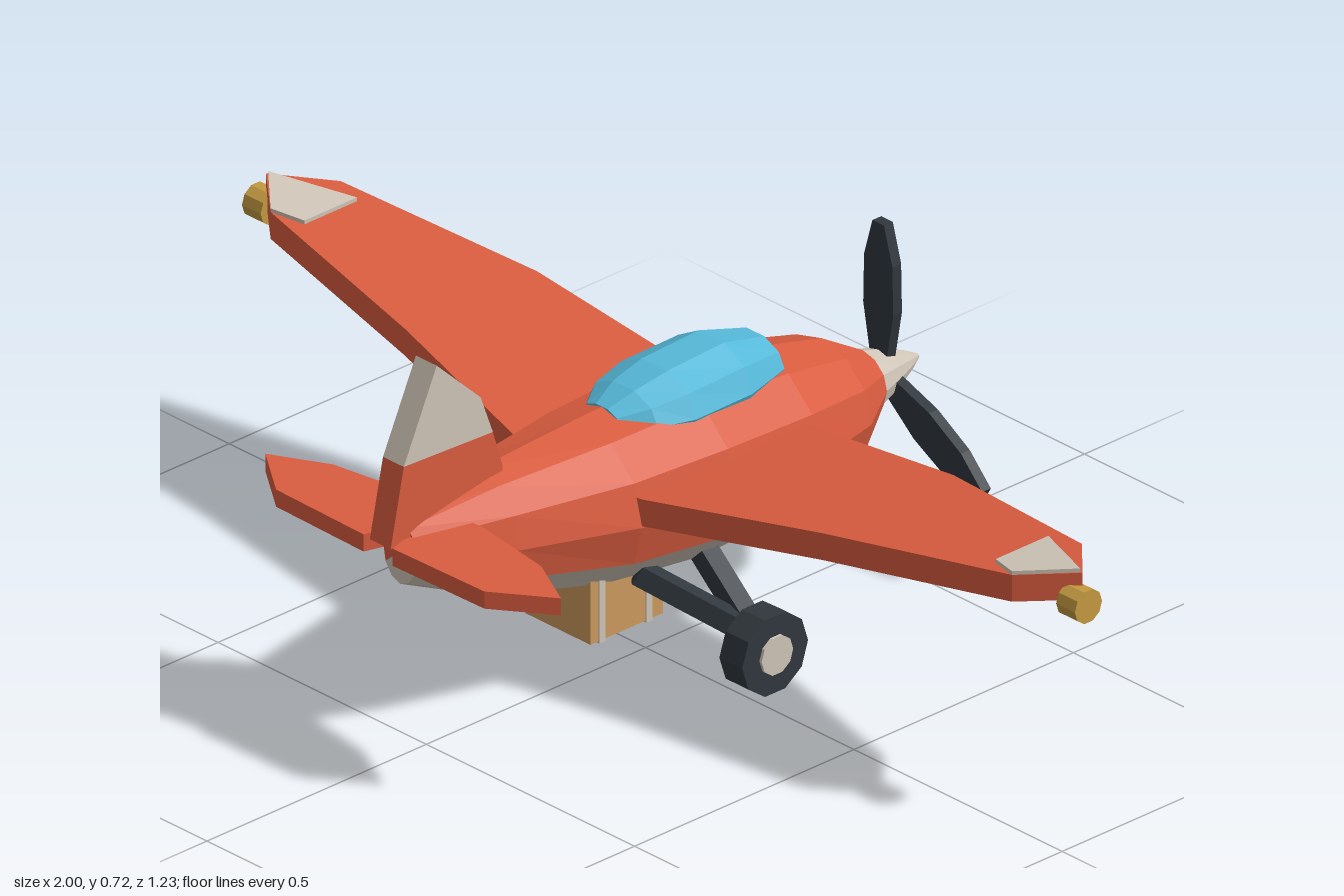
import * as THREE from 'three';

const mat = (name, color) => {
  const m = new THREE.MeshStandardMaterial({ color });
  m.name = name;
  return m;
};

// Split every face so that its normals are flat
function flat(geo) {
  const g = geo.index ? geo.toNonIndexed() : geo;
  g.computeVertexNormals();
  return g;
}

// Skin over elliptical sections [z, centreY, halfWidth, halfHeight], between two angles in degrees
function loft(sections, from, to, steps) {
  const pos = [], idx = [], n = steps + 1;
  for (const [z, cy, w, h] of sections) {
    for (let i = 0; i < n; i++) {
      const a = THREE.MathUtils.degToRad(from + (to - from) * i / steps);
      pos.push(w * Math.cos(a), cy + h * Math.sin(a), z);
    }
  }
  const last = sections.length - 1;
  for (let s = 0; s < last; s++) {
    for (let i = 0; i < steps; i++) {
      const a = s * n + i, d = a + n;
      idx.push(a, a + 1, d + 1, a, d + 1, d);
    }
  }
  // end caps as fans around the section centres
  const c = pos.length / 3;
  pos.push(0, sections[0][1], sections[0][0], 0, sections[last][1], sections[last][0]);
  for (let i = 0; i < steps; i++) {
    idx.push(c, i + 1, i, c + 1, last * n + i, last * n + i + 1);
  }
  const g = new THREE.BufferGeometry();
  g.setAttribute('position', new THREE.Float32BufferAttribute(pos, 3));
  g.setIndex(idx);
  return flat(g);
}

const extrude = (points, depth) => new THREE.ExtrudeGeometry(
  new THREE.Shape(points.map(([x, y]) => new THREE.Vector2(x, y))), { depth, bevelEnabled: false });

// Horizontal slab from an [x, z] outline, raised outward by the dihedral slope
function slab(outline, side, y, thickness, slope = 0) {
  const g = extrude(outline.map(([x, z]) => [x * side, -z]), thickness).rotateX(-Math.PI / 2);
  const p = g.attributes.position;
  for (let i = 0; i < p.count; i++) p.setY(i, p.getY(i) + y + slope * Math.abs(p.getX(i)));
  return flat(g);
}

// Upright slab from a [z, y] outline, centred on x = 0
const upright = (outline, thickness) =>
  flat(extrude(outline, thickness).translate(0, 0, -thickness / 2).rotateY(-Math.PI / 2));

export function createModel() {
  const model = new THREE.Group();
  model.name = 'airplane';
  const red = mat('red paint', 0xd95c3f), cream = mat('cream paint', 0xcfc5b7);
  const glass = mat('blue glass', 0x55b8d8), dark = mat('dark grey', 0x30373d);
  const gold = mat('gold', 0xc49a41), tan = mat('crate tan', 0xcb9a5e);
  const add = (name, geo, material, parent = model) => {
    const m = new THREE.Mesh(geo, material);
    m.name = name;
    parent.add(m);
    return m;
  };

  // Fuselage: red upper shell, cream belly
  const body = [
    [-0.495, 0.33, 0.058, 0.055], [-0.4, 0.325, 0.12, 0.117], [-0.25, 0.33, 0.158, 0.15],
    [-0.05, 0.335, 0.167, 0.163], [0.15, 0.343, 0.15, 0.15], [0.38, 0.363, 0.095, 0.118],
    [0.56, 0.39, 0.04, 0.06],
  ];
  add('fuselage', loft(body, -30, 210, 8), red);
  add('belly', loft(body, 210, 330, 4), cream);

  // Canopy
  add('canopy', loft([
    [-0.25, 0.465, 0.07, 0.045], [-0.15, 0.465, 0.098, 0.074], [-0.02, 0.465, 0.1, 0.068],
    [0.05, 0.468, 0.082, 0.05], [0.1, 0.472, 0.045, 0.024],
  ], 0, 360, 10), glass);

  // Spinner and three propeller blades
  add('spinner', loft([
    [-0.62, 0.33, 0.004, 0.004], [-0.595, 0.33, 0.018, 0.018], [-0.55, 0.33, 0.038, 0.038],
    [-0.495, 0.33, 0.057, 0.054],
  ], 0, 360, 12), cream);
  const propeller = new THREE.Group();
  propeller.name = 'propeller';
  propeller.position.set(0, 0.33, -0.54);
  model.add(propeller);
  const blade = flat(extrude([[-0.018, 0.02], [0.018, 0.02], [0.036, 0.12], [0.034, 0.21],
    [0.014, 0.28], [-0.014, 0.28], [-0.034, 0.21], [-0.036, 0.12]], 0.02).translate(0, 0, -0.01));
  for (let i = 0; i < 3; i++) add('blade', blade, dark, propeller).rotation.z = i * Math.PI * 2 / 3;

  // Tail fin with a cream top
  add('tailFin', upright([[0.605, 0.42], [0.575, 0.563], [0.372, 0.555], [0.35, 0.485],
    [0.35, 0.43]], 0.05), red);
  add('finTip', upright([[0.575, 0.563], [0.5, 0.725], [0.4, 0.63], [0.372, 0.555]], 0.05), cream);

  for (const side of [1, -1]) {
    const half = new THREE.Group();
    half.name = side > 0 ? 'leftSide' : 'rightSide';
    model.add(half);

    // Wing, painted tip and tip lamp
    add('wing', slab([[0.08, -0.235], [0.5, -0.227], [0.89, -0.15], [0.98, -0.065], [0.89, 0.01],
      [0.5, 0.073], [0.15, 0.15], [0.08, 0.15]], side, 0.328, 0.05, 0.122), red, half);
    add('wingTipPaint', slab([[0.83, -0.13], [0.975, -0.065], [0.89, 0.01], [0.83, -0.01]],
      side, 0.378, 0.007, 0.122), cream, half);
    const lamp = add('tipLamp', flat(new THREE.CylinderGeometry(0.031, 0.031, 0.045, 10)), gold, half);
    lamp.rotation.z = Math.PI / 2;
    lamp.position.set(0.9775 * side, 0.444, -0.06);

    // Tailplane
    add('tailplane', slab([[0.02, 0.45], [0.09, 0.45], [0.25, 0.475], [0.355, 0.53], [0.25, 0.605],
      [0.035, 0.61], [0.02, 0.56]], side, 0.395, 0.032), red, half);

    // Wheel and hub cap
    const tyre = add('wheel', flat(new THREE.CylinderGeometry(0.075, 0.075, 0.055, 10)), dark, half);
    const hub = add('hubCap', flat(new THREE.CylinderGeometry(0.036, 0.036, 0.066, 10)), cream, half);
    for (const w of [tyre, hub]) {
      w.rotation.z = Math.PI / 2;
      w.position.set(0.236 * side, 0.08, -0.045);
    }

    // Landing gear struts
    const foot = new THREE.Vector3(0.215 * side, 0.1, -0.045);
    for (const [name, x, y, z] of [['frontStrut', 0.085, 0.215, -0.045], ['rearStrut', 0.085, 0.22, 0.1]]) {
      const top = new THREE.Vector3(x * side, y, z);
      const strut = add(name, new THREE.BoxGeometry(0.036, 0.036, top.distanceTo(foot)), dark, half);
      strut.position.copy(top).add(foot).multiplyScalar(0.5);
      strut.lookAt(top);
    }
  }

  // Cargo crate with two straps
  add('crate', new THREE.BoxGeometry(0.156, 0.135, 0.165).translate(0, 0.183, 0.1175), tan);
  for (const z of [0.175, 0.068]) {
    add('crateStrap', new THREE.BoxGeometry(0.162, 0.141, 0.014).translate(0, 0.183, z), cream);
  }
  return model;
}
